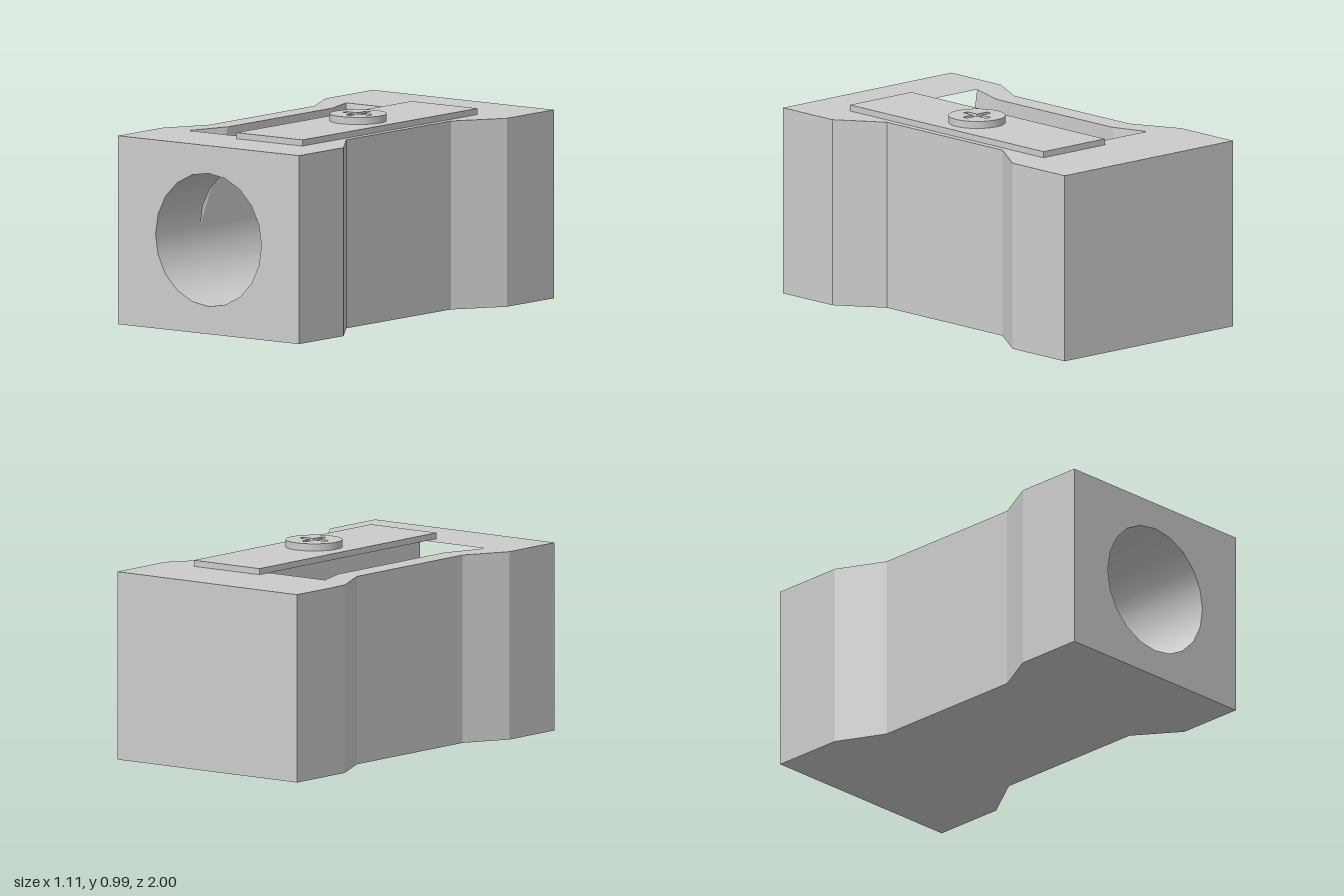
import * as THREE from 'three';
import { mergeGeometries, toCreasedNormals } from 'three/addons/utils/BufferGeometryUtils.js';

const H = 0.92, R = 0.325, CY = 0.46, SIDES = 20;
const BACK = -0.54, SLOT_FRONT = 0.65;
const grey = new THREE.MeshStandardMaterial({ color: 0xcccccc });

function add(group, name, geo) {
  const mesh = new THREE.Mesh(geo, grey);
  mesh.name = name;
  group.add(mesh);
  return mesh;
}

// Flat polygon as a fan around its first corner
function fan(points) {
  const pos = [];
  for (let i = 1; i < points.length - 1; i++) pos.push(...points[0], ...points[i], ...points[i + 1]);
  const geo = new THREE.BufferGeometry();
  geo.setAttribute('position', new THREE.Float32BufferAttribute(pos, 3));
  geo.computeVertexNormals();
  return geo;
}

const shapeOf = (pts, sign = 1) => new THREE.Shape(pts.map(([x, y]) => new THREE.Vector2(x, sign * y)));

const circle = () => Array.from({ length: SIDES }, (_, i) => {
  const a = (i / SIDES) * Math.PI * 2;
  return [R * Math.cos(a), CY + R * Math.sin(a)];
});

// Smooth bore section with its faces turned inward
function bore(z0, z1, start, length) {
  const segs = Math.round((length / (Math.PI * 2)) * SIDES);
  const geo = new THREE.CylinderGeometry(R, R, z1 - z0, segs, 1, true, start, length);
  geo.rotateX(Math.PI / 2).translate(0, CY, (z0 + z1) / 2);
  geo.setIndex(Array.from(geo.index.array).reverse());
  const n = geo.attributes.normal;
  for (let i = 0; i < n.count; i++) n.setXYZ(i, -n.getX(i), -n.getY(i), -n.getZ(i));
  return geo;
}

export function createModel() {
  const model = new THREE.Group();
  model.name = 'pencilSharpener';

  // Waisted plan outline (x, z)
  const plan = [
    [0.555, 1], [0.555, 0.65], [0.4, 0.43], [0.4, -0.39], [0.555, -0.63], [0.555, -1],
    [-0.555, -1], [-0.555, -0.63], [-0.44, -0.39], [-0.44, 0.43], [-0.555, 0.65], [-0.555, 1],
  ];

  // Slot corners: rim bends (A), flared rim ends (B), bottom ends of the wall (C)
  const Ab = [-R, H, -0.39], Af = [-R, H, 0.43];
  const Bb = [-0.385, H, -0.57], Bf = [-0.4, H, SLOT_FRONT];
  const Cb = [-R, CY, BACK], Cf = [-R, CY, SLOT_FRONT];
  const Db = [0, H, -0.57], Df = [0, H, SLOT_FRONT];

  // Outer body
  const body = new THREE.Group();
  body.name = 'body';
  model.add(body);
  const walls = plan.slice(0, -1).map(([x, z], i) => {
    const [u, w] = plan[i + 1];
    return fan([[x, 0, z], [u, 0, w], [u, H, w], [x, H, z]]);
  });
  add(body, 'sideWalls', mergeGeometries(walls));

  const topShape = shapeOf(plan, -1);
  topShape.holes.push(shapeOf([Bb, Ab, Af, Bf, Df, Db].map(([x, , z]) => [x, z]), -1));
  add(body, 'topFace', new THREE.ShapeGeometry(topShape).rotateX(-Math.PI / 2).translate(0, H, 0));
  add(body, 'bottomFace', new THREE.ShapeGeometry(shapeOf(plan)).rotateX(Math.PI / 2));

  const front = shapeOf([[-0.555, 0], [0.555, 0], [0.555, H], [-0.555, H]]);
  front.holes.push(shapeOf(circle()));
  add(body, 'frontFace', new THREE.ShapeGeometry(front).translate(0, 0, 1));

  // Pencil hole: full at the mouth, open to the slot further back
  add(body, 'pencilHole', mergeGeometries([
    bore(SLOT_FRONT, 1, -Math.PI / 2, Math.PI * 2),
    bore(BACK, SLOT_FRONT, -Math.PI / 2, Math.PI * 1.5),
  ]));
  add(body, 'holeEnd', new THREE.ShapeGeometry(shapeOf(circle())).translate(0, 0, BACK));

  // Slot walls with flared ends and a leaning back wall
  const arc = circle().slice(SIDES / 4, SIDES / 2 + 1).reverse().map(([x, y]) => [x, y, BACK]);
  add(body, 'slotWalls', mergeGeometries([
    fan([Cf, Cb, Ab, Af]),
    fan([Af, Bf, Cf]),
    fan([Ab, Cb, Bb]),
    fan([Bb, ...arc, Db]),
    fan([[0, CY + R, BACK], [0, CY + R, SLOT_FRONT], Df, Db]),
  ]));

  // Blade
  add(model, 'blade', new THREE.BoxGeometry(0.405, 0.03, 1.375)).position.set(0.1625, H + 0.015, 0.0425);

  // Screw head with a cross recess
  const screw = new THREE.Group();
  screw.name = 'screw';
  screw.position.set(0.167, H + 0.03, 0.04);
  model.add(screw);
  const head = new THREE.Shape().absarc(0, 0, 0.138, 0, Math.PI * 2);
  const w = 0.015, l = 0.08;
  head.holes.push(shapeOf([
    [w, w], [l, w], [l, -w], [w, -w], [w, -l], [-w, -l],
    [-w, -w], [-l, -w], [-l, w], [-w, w], [-w, l], [w, l],
  ]));
  const headGeo = new THREE.ExtrudeGeometry(head, { depth: 0.035, bevelEnabled: false, curveSegments: 32 });
  add(screw, 'screwHead', toCreasedNormals(headGeo.rotateX(-Math.PI / 2), 0.6));
  add(screw, 'recessFloor', new THREE.CircleGeometry(0.12, 24).rotateX(-Math.PI / 2).translate(0, 0.018, 0));

  return model;
}
